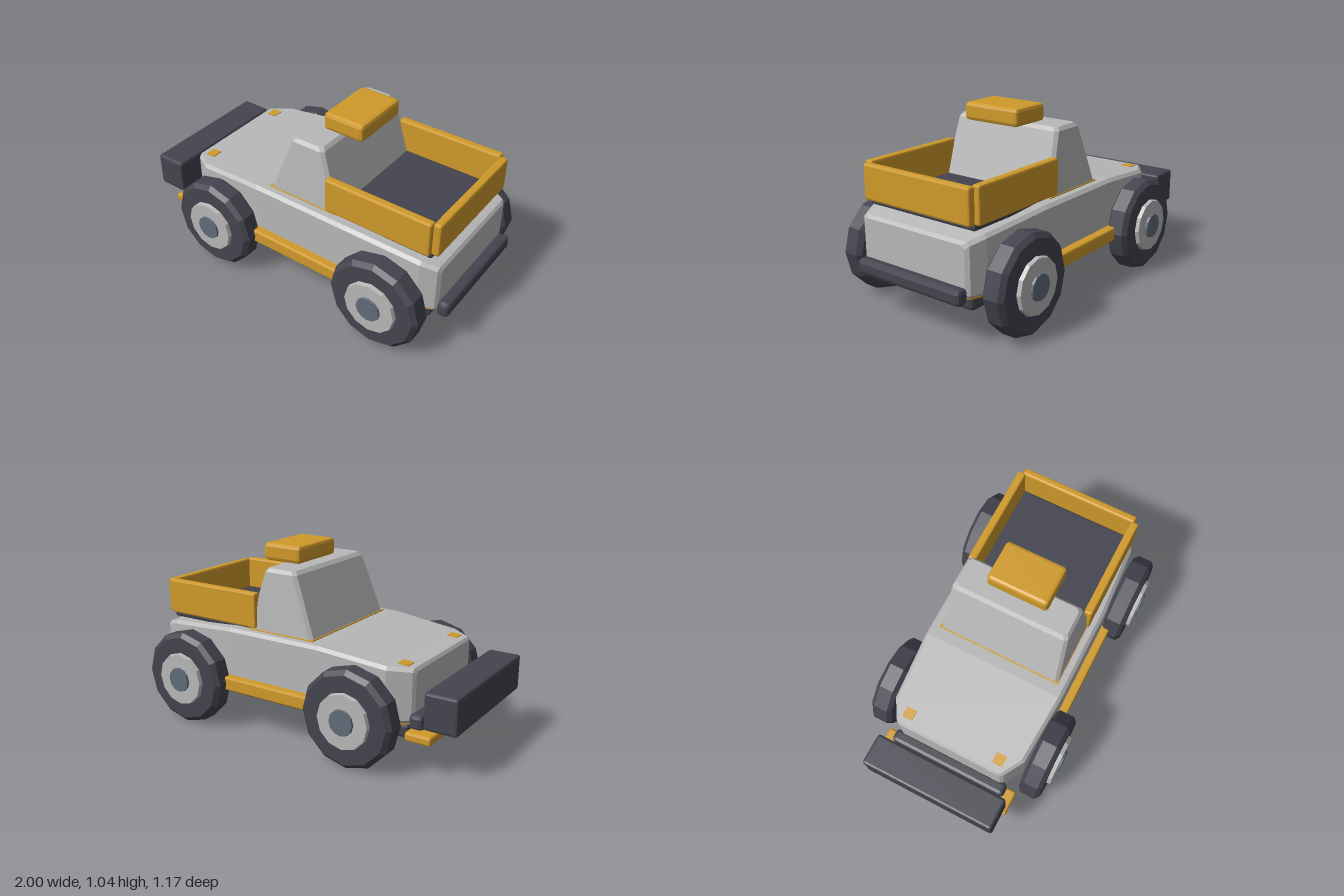
import * as THREE from 'three';
import { RoundedBoxGeometry } from 'three/addons/geometries/RoundedBoxGeometry.js';

const paint = (name, color) => {
  const m = new THREE.MeshStandardMaterial({ color, flatShading: true });
  m.name = name;
  return m;
};

// Chamfered rectangle, counterclockwise in (u, v)
const chamferRect = (u0, u1, v0, v1, c) => [
  [u0 + c, v0], [u1 - c, v0], [u1, v0 + c], [u1, v1 - c],
  [u1 - c, v1], [u0 + c, v1], [u0, v1 - c], [u0, v0 + c],
];

// Closed skin over a series of equal-sized rings of [x, y, z] points
function loft(rings) {
  const n = rings[0].length, pos = [];
  const tri = (a, b, c) => pos.push(...a, ...b, ...c);
  for (let r = 0; r < rings.length - 1; r++) {
    const a = rings[r], b = rings[r + 1];
    for (let i = 0; i < n; i++) {
      const j = (i + 1) % n;
      tri(a[i], a[j], b[j]);
      tri(a[i], b[j], b[i]);
    }
  }
  const first = rings[0], last = rings[rings.length - 1];
  for (let i = 1; i < n - 1; i++) {
    tri(first[0], first[i + 1], first[i]);
    tri(last[0], last[i], last[i + 1]);
  }
  const g = new THREE.BufferGeometry();
  g.setAttribute('position', new THREE.Float32BufferAttribute(pos, 3));
  g.computeVertexNormals();
  return g;
}

export function createModel() {
  const truck = new THREE.Group();
  truck.name = 'pickupTruck';
  const grey = paint('bodyGrey', 0xb8b8b8);
  const orange = paint('trimOrange', 0xd09a2a);
  const dark = paint('rubberDark', 0x43444e);
  const steel = paint('capSteel', 0x616c78);

  const add = (name, geometry, material, parent = truck) => {
    const m = new THREE.Mesh(geometry, material);
    m.name = name;
    parent.add(m);
    return m;
  };
  // Bevelled box given by its extents
  const box = (name, material, [x0, x1], [y0, y1], [z0, z1], bevel = 0.015) => {
    const m = add(name, new RoundedBoxGeometry(x1 - x0, y1 - y0, z1 - z0, 1, bevel), material);
    m.position.set((x0 + x1) / 2, (y0 + y1) / 2, (z0 + z1) / 2);
    return m;
  };

  // Body: [x, half width, top height]
  const stations = [
    [-0.727, 0.315, 0.525], [-0.715, 0.335, 0.542], [-0.6, 0.405, 0.551], [-0.2, 0.43, 0.59],
    [0.4, 0.43, 0.59], [0.84, 0.397, 0.556], [0.925, 0.362, 0.533], [0.938, 0.34, 0.515],
  ];
  add('body', loft(stations.map(([x, w, top]) =>
    chamferRect(0.245, top, -w, w, 0.018).map(([y, z]) => [x, y, z]))), grey);
  add('bodyUnderside', loft(stations.map(([x, w]) =>
    chamferRect(0.235, 0.25, -w + 0.012, w - 0.012, 0.003).map(([y, z]) => [x * 0.985, y, z]))), orange);
  box('chassis', dark, [-0.7, 0.89], [0.157, 0.24], [-0.34, 0.34], 0.02);
  box('sills', orange, [-0.3, 0.5], [0.236, 0.315], [-0.48, 0.48], 0.01);

  // Cab: [height, front x, rear x, half width]
  const cab = [
    [0.59, -0.13, 0.31, 0.373], [0.925, -0.005, 0.206, 0.346], [0.945, 0.015, 0.19, 0.33],
  ];
  add('cab', loft(cab.map(([y, x0, x1, w]) =>
    chamferRect(-w, w, x0, x1, 0.018).map(([z, x]) => [x, y, z]))), grey);
  box('cabBaseTrim', orange, [-0.134, 0.3], [0.588, 0.597], [-0.376, 0.376], 0.002);
  box('roofBox', orange, [0.087, 0.335], [0.945, 1.045], [-0.18, 0.18], 0.02);

  // Cargo bed
  box('bedFloor', dark, [0.22, 0.88], [0.57, 0.61], [-0.356, 0.356], 0.012);
  for (const s of [1, -1]) {
    box('bedSide', orange, [0.245, 0.877], [0.602, 0.802], s > 0 ? [0.338, 0.386] : [-0.386, -0.338], 0.01);
  }
  box('tailgate', orange, [0.873, 0.919], [0.602, 0.797], [-0.358, 0.358], 0.012);

  // Bumpers, front block and lower bar
  box('rearBumper', dark, [0.93, 1], [0.22, 0.306], [-0.353, 0.353], 0.022);
  box('frontBumper', dark, [-0.79, -0.71], [0.22, 0.31], [-0.362, 0.362], 0.022);
  box('frontBlock', dark, [-1, -0.815], [0.262, 0.464], [-0.405, 0.405], 0.014);
  box('frontLowerBar', orange, [-0.867, -0.72], [0.187, 0.235], [-0.42, 0.42], 0.012);

  // Hood lights follow the hood slope
  for (const z of [-0.285, 0.279]) {
    const light = add('hoodLight', new THREE.BoxGeometry(0.06, 0.008, 0.062), orange);
    light.position.set(-0.65, 0.548, z);
    light.rotation.z = 0.08;
  }

  // Wheels
  const tyre = new THREE.LatheGeometry([
    [0, -0.065], [0.245, -0.065], [0.27, -0.042], [0.27, 0.042], [0.245, 0.065], [0, 0.065],
  ].map(([r, y]) => new THREE.Vector2(r, y)), 12);
  const hub = new THREE.CylinderGeometry(0.15, 0.156, 0.03, 12);
  const cap = new THREE.CylinderGeometry(0.07, 0.075, 0.03, 12);
  for (const x of [-0.445, 0.66]) {
    for (const s of [1, -1]) {
      const wheel = new THREE.Group();
      wheel.name = 'wheel';
      add('tyre', tyre, dark, wheel);
      add('hub', hub, grey, wheel).position.y = 0.072;
      add('hubCap', cap, steel, wheel).position.y = 0.084;
      wheel.position.set(x, 0.275, s * 0.485);
      wheel.rotation.x = s * Math.PI / 2;
      truck.add(wheel);
    }
  }
  return truck;
}
